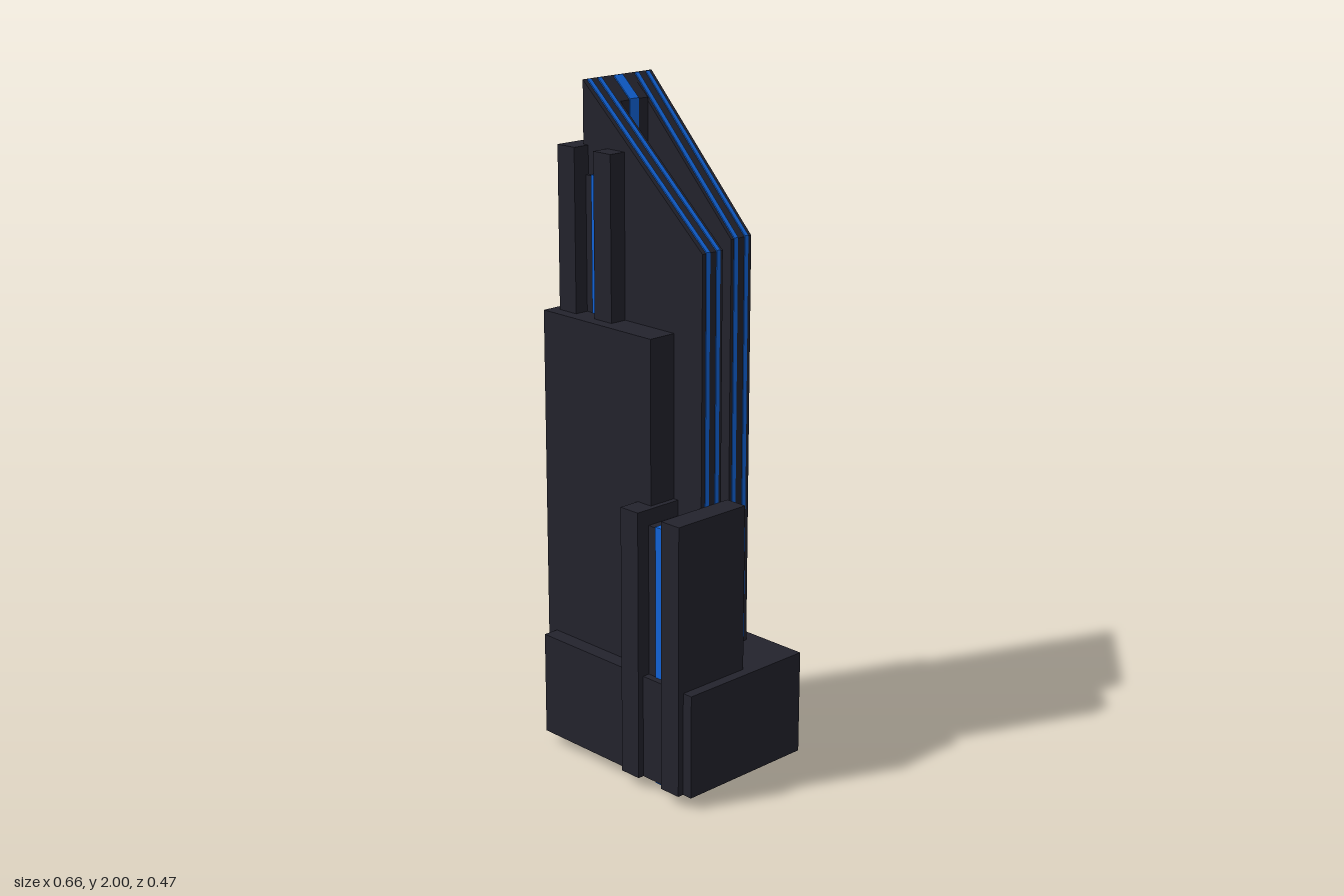
import * as THREE from 'three';

export function createModel() {
  const group = new THREE.Group();
  group.name = 'skyscraper';
  const dark = new THREE.MeshStandardMaterial({ color: 0x23232d, side: THREE.DoubleSide });
  dark.name = 'charcoal';
  const blue = new THREE.MeshStandardMaterial({ color: 0x1163d8 });
  blue.name = 'blue';

  const add = (name, geometry, material) => {
    const mesh = new THREE.Mesh(geometry, material);
    mesh.name = name;
    group.add(mesh);
    return mesh;
  };
  // box given by its limits on each axis
  const block = (name, [x0, x1], [y0, y1], [z0, z1], material = dark) => {
    const g = new THREE.BoxGeometry(x1 - x0, y1 - y0, z1 - z0);
    g.translate((x0 + x1) / 2, (y0 + y1) / 2, (z0 + z1) / 2);
    return add(name, g, material);
  };
  // outline in x and y, extruded from z0 to z1
  const prism = (name, points, z0, z1, material) => {
    const shape = new THREE.Shape(points.map(([x, y]) => new THREE.Vector2(x, y)));
    const g = new THREE.ExtrudeGeometry(shape, { depth: z1 - z0, bevelEnabled: false });
    g.translate(0, 0, z0);
    return add(name, g, material);
  };

  const FLOOR = 0.035;
  const LEFT = -0.252;

  // hollow podium, open underneath
  const base = block('podium', [-0.295, 0.328], [FLOOR, 0.35], [-0.235, 0.213]);
  const index = Array.from(base.geometry.index.array);
  index.splice(18, 6); // drop the bottom face
  base.geometry.setIndex(index);
  base.geometry.clearGroups();

  // slanted tower slabs with ribbons folding over the roof and down the right end
  const slab = (name, right, low, z0, z1, stripes, stripeFoot) => {
    prism(name, [[LEFT, FLOOR], [right, FLOOR], [right, low], [LEFT, 1.997]], z0, z1, dark);
    const slope = (low - 1.997) / (right - LEFT);
    const start = LEFT + 0.005;
    const top = 1.997 + slope * 0.005;
    for (const [s0, s1] of stripes) {
      prism(name + 'Stripe', [
        [right - 0.003, stripeFoot], [right + 0.002, stripeFoot], [right + 0.002, low + 0.003],
        [start, top + 0.005], [start, top - 0.003], [right - 0.003, low - 0.003],
      ], s0, s1, blue);
    }
  };
  slab('frontSlab', 0.225, 1.577, -0.003, 0.075, [[0.008, 0.022], [0.047, 0.061]], 0.01);
  slab('backSlab', 0.152, 1.577, -0.19, -0.11, [[-0.177, -0.163], [-0.136, -0.121]], 0.01);
  slab('core', -0.183, 1.935, -0.11, -0.003, [[-0.073, -0.039]], 0);

  // stepped annexes
  block('leftWing', [-0.33, 0.115], [FLOOR, 1.335], [-0.047, 0.165]);
  block('backWing', [-0.27, -0.025], [FLOOR, 1.055], [-0.208, -0.158]);

  // pair of piers with a recessed bay and a blue ribbon between them
  const bay = (name, xs, foot, top, bayTop, back, front, bayFront, ribbon, ribbonFoot) => {
    block(name + 'RightPier', [xs[0], xs[1]], [foot, top], [back, front]);
    block(name + 'LeftPier', [xs[2], xs[3]], [foot, top], [back, front]);
    block(name + 'Recess', [xs[1], xs[2]], [foot, bayTop], [back, bayFront]);
    block(name + 'RibbonFront', ribbon, [ribbonFoot, bayTop + 0.004], [bayFront - 0.003, bayFront + 0.003], blue);
    block(name + 'RibbonTop', ribbon, [bayTop - 0.003, bayTop + 0.004], [back, bayFront], blue);
  };
  bay('upper', [-0.302, -0.232, -0.153, -0.083], 1.3, 1.815, 1.732, 0.008, 0.128, 0.085, [-0.207, -0.179], 1.3);
  bay('lower', [0.062, 0.132, 0.226, 0.296], FLOOR, 0.85, 0.803, -0.028, 0.232, 0.19, [0.162, 0.196], 0.018);

  return group;
}
